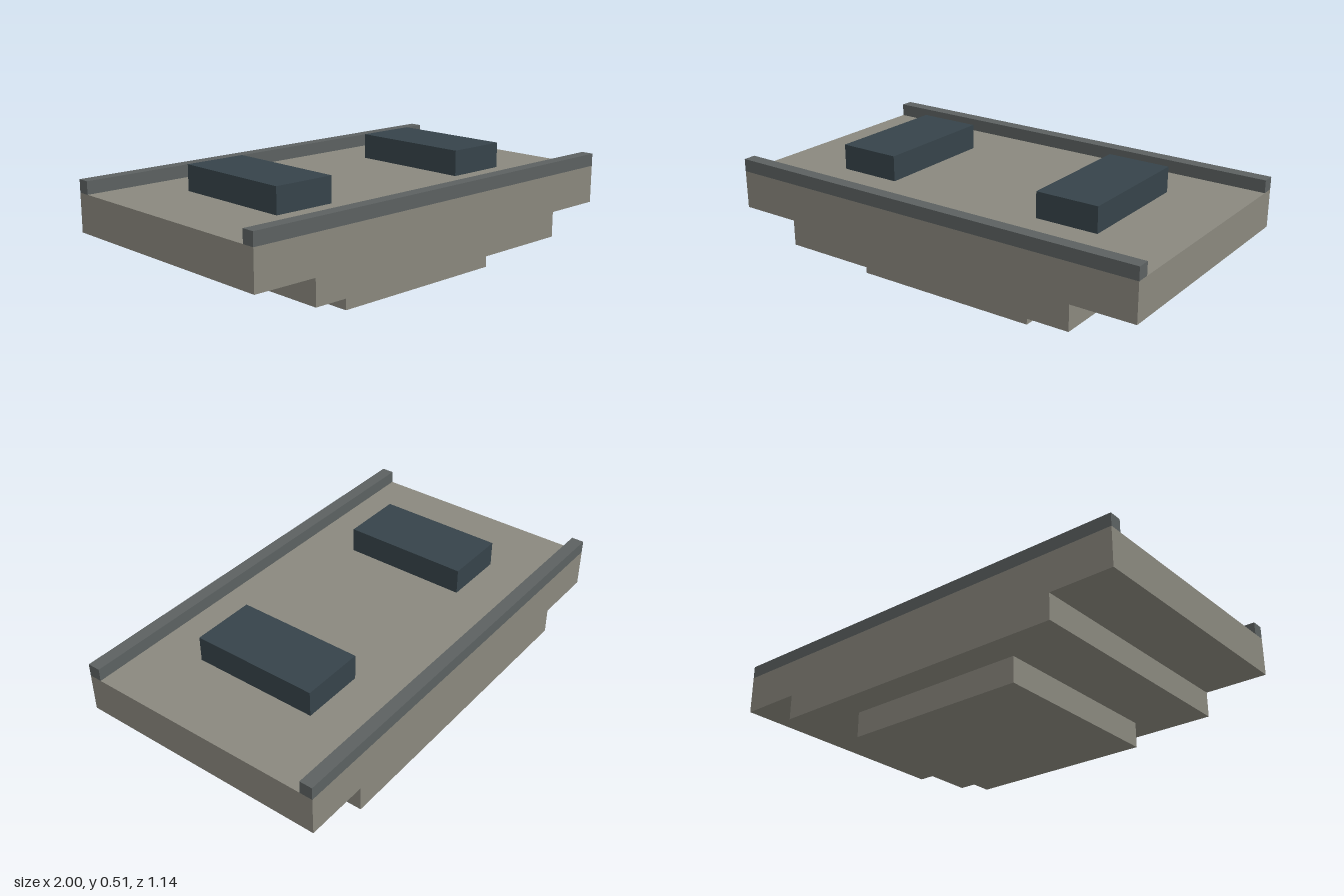
import * as THREE from 'three';

const stone = new THREE.MeshStandardMaterial({ color: 0x8a887e });
stone.name = 'warm grey stone';
const railGrey = new THREE.MeshStandardMaterial({ color: 0x5c6161 });
railGrey.name = 'rail grey';
const slate = new THREE.MeshStandardMaterial({ color: 0x36434a });
slate.name = 'dark slate';

// All dimensions sit on a regular module of 35 units across the 2-unit length
const U = 2 / 35;

// Box given by its size and the height of its underside, in modules
function block(name, material, [w, h, d], [x, bottom, z]) {
  const mesh = new THREE.Mesh(new THREE.BoxGeometry(w * U, h * U, d * U), material);
  mesh.position.set(x * U, (bottom + h / 2) * U, z * U);
  mesh.name = name;
  return mesh;
}

export function createModel() {
  const model = new THREE.Group();
  model.name = 'steppedPlatform';

  // Foot
  model.add(block('foot', stone, [15, 2, 15], [0, 0, 0]));

  // Deck with its stepped underside, one profile extruded front to back
  const profile = [
    [-12.5, 2], [12.5, 2], [12.5, 4], [17.5, 4],
    [17.5, 7], [-17.5, 7], [-17.5, 4], [-12.5, 4],
  ].map(([x, y]) => new THREE.Vector2(x * U, y * U));
  const deckGeometry = new THREE.ExtrudeGeometry(new THREE.Shape(profile), {
    depth: 20 * U,
    bevelEnabled: false,
  });
  deckGeometry.translate(0, 0, -10 * U);
  const deck = new THREE.Mesh(deckGeometry, stone);
  deck.name = 'deck';
  model.add(deck);

  // Long edge rails and raised pads, mirrored
  for (const s of [1, -1]) {
    model.add(block(s > 0 ? 'frontRail' : 'backRail', railGrey, [35, 1, 1], [0, 7, s * 9.5]));
    model.add(block(s > 0 ? 'leftPad' : 'rightPad', slate, [5, 2, 10], [s * 9, 7, 0]));
  }
  return model;
}
